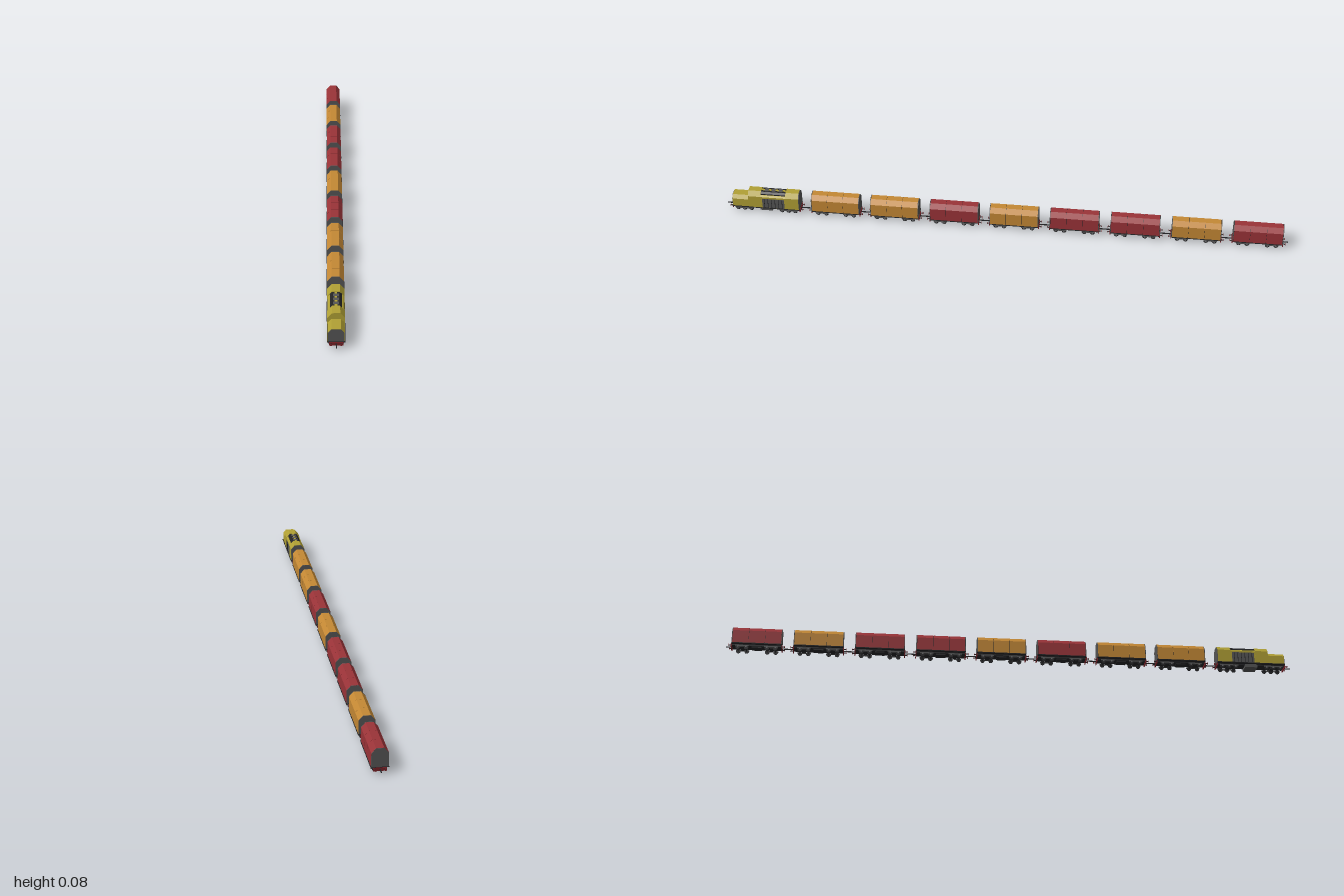
import * as THREE from 'three';

const mat = (name, color, side = THREE.FrontSide) => {
  const m = new THREE.MeshStandardMaterial({ color, side });
  m.name = name;
  return m;
};
const yellow = mat('locomotive yellow', 0xb0a034);
const orange = mat('wagon orange', 0xc48834);
const red = mat('wagon red', 0x9a3338);
const grey = mat('end grey', 0x555555);
const black = mat('chassis black', 0x232325);
const darkRed = mat('buffer beam red', 0x782026);
const steel = mat('wheel steel', 0x6a6a6c);

function add(parent, name, geometry, material, x = 0, y = 0, z = 0) {
  const mesh = new THREE.Mesh(geometry, material);
  mesh.name = name;
  mesh.position.set(x, y, z);
  parent.add(mesh);
  return mesh;
}
const box = (parent, name, material, w, h, d, x, y, z) =>
  add(parent, name, new THREE.BoxGeometry(w, h, d), material, x, y, z);

// Car section with chamfered roof edges, extruded from z0 to z1
function hull(parent, name, material, { w, base, eave, top, flat }, z0, z1) {
  const s = new THREE.Shape([
    [-w, base], [w, base], [w, eave], [flat, top], [-flat, top], [-w, eave],
  ].map(([x, y]) => new THREE.Vector2(x, y)));
  const g = new THREE.ExtrudeGeometry(s, { depth: z1 - z0, bevelEnabled: false });
  return add(parent, name, g, material, 0, 0, z0);
}
const inset = (p, d) => ({ w: p.w - d, base: p.base + d, eave: p.eave - d / 2, top: p.top - d, flat: p.flat - d / 2 });

const FULL = { w: 0.0265, base: 0.021, eave: 0.068, top: 0.084, flat: 0.0125 };
const NOSE = { w: 0.0255, base: 0.021, eave: 0.052, top: 0.064, flat: 0.0145 };

// Bogie with wheelsets, axle boxes and side frames
function bogie(parent, z, axles) {
  const b = new THREE.Group();
  b.name = 'bogie';
  b.position.z = z;
  parent.add(b);
  const half = Math.max(...axles) + 0.009;
  box(b, 'bogieBolster', black, 0.03, 0.007, 0.014, 0, 0.0125, 0);
  for (const s of [-1, 1]) {
    box(b, 'sideFrame', grey, 0.003, 0.004, half * 2, s * 0.0215, 0.012, 0);
    for (const a of axles) {
      const wheel = new THREE.CylinderGeometry(0.0078, 0.0078, 0.003, 14).rotateZ(Math.PI / 2);
      add(b, 'wheel', wheel, black, s * 0.0175, 0.0078, a);
      box(b, 'axleBox', steel, 0.002, 0.005, 0.005, s * 0.0228, 0.0085, a);
    }
  }
  for (const a of axles) {
    const axle = new THREE.CylinderGeometry(0.0016, 0.0016, 0.034, 8).rotateZ(Math.PI / 2);
    add(b, 'axle', axle, black, 0, 0.0078, a);
  }
}

// Underframe with beams, buffers and couplers; reach is the coupler end
function chassis(parent, half, reach) {
  box(parent, 'underframe', black, 0.034, 0.006, half * 2 - 0.004, 0, 0.0175, 0);
  box(parent, 'footplate', black, 0.056, 0.0025, half * 2, 0, 0.0205, 0);
  for (const e of [-1, 1]) {
    box(parent, 'bufferBeam', darkRed, 0.042, 0.011, 0.003, 0, 0.0145, e * (half + 0.0005));
    box(parent, 'coupler', black, 0.003, 0.003, reach - half, 0, 0.0145, e * (reach + half) / 2);
    for (const s of [-1, 1]) {
      const stem = new THREE.CylinderGeometry(0.0018, 0.0018, 0.008, 8).rotateX(Math.PI / 2);
      add(parent, 'bufferStem', stem, black, s * 0.015, 0.016, e * (half + 0.005));
      const head = new THREE.CylinderGeometry(0.0038, 0.0038, 0.0015, 12).rotateX(Math.PI / 2);
      add(parent, 'bufferHead', head, darkRed, s * 0.015, 0.016, e * (half + 0.0095));
    }
  }
}

function wagon(color) {
  const g = new THREE.Group();
  g.name = 'wagon';
  const half = 0.0865;
  chassis(g, half, 0.1067);
  hull(g, 'wagonCore', black, inset(FULL, 0.001), -half + 0.002, half - 0.002);
  // Three covers separated by narrow seams
  const panel = (half * 2 - 0.004) / 3;
  for (let i = 0; i < 3; i++) {
    const z = -half + 0.002 + i * panel;
    hull(g, 'wagonCover', color, FULL, z + 0.0004, z + panel - 0.0004);
  }
  for (const e of [-1, 1]) hull(g, 'wagonEnd', grey, FULL, e * (half - 0.001) - 0.001, e * (half - 0.001) + 0.001);
  for (const e of [-1, 1]) bogie(g, e * 0.05, [-0.0145, 0.0145]);
  // Brake gear between the bogies
  box(g, 'brakeGear', black, 0.026, 0.005, 0.034, 0, 0.0125, 0);
  return g;
}

function locomotive() {
  const g = new THREE.Group();
  g.name = 'locomotive';
  const half = 0.122;
  chassis(g, half, 0.147);
  // Low nose with a grey front panel
  hull(g, 'nose', yellow, NOSE, 0.062, 0.12);
  hull(g, 'nosePanel', grey, inset(NOSE, 0.0015), 0.12, 0.1215);
  // Cab with side windows
  hull(g, 'cab', yellow, FULL, 0.016, 0.062);
  // Engine compartment: body, dark roof and side grilles
  hull(g, 'engineBody', yellow, { w: 0.0258, base: 0.021, eave: 0.067, top: 0.072, flat: 0.02 }, -0.073, 0.016);
  hull(g, 'engineRoof', black, { w: 0.0185, base: 0.071, eave: 0.076, top: 0.082, flat: 0.0125 }, -0.073, 0.016);
  box(g, 'roofWalkway', yellow, 0.008, 0.0012, 0.089, 0, 0.0823, -0.0285);
  for (const z of [-0.053, -0.028, -0.003]) box(g, 'roofVent', grey, 0.018, 0.002, 0.014, 0, 0.0825, z);
  for (const s of [-1, 1]) {
    box(g, 'sideGrille', grey, 0.001, 0.038, 0.08, s * 0.0261, 0.0415, -0.0285);
    for (let i = 0; i < 6; i++) {
      box(g, 'grilleSlat', black, 0.0006, 0.036, 0.002, s * 0.0268, 0.0415, -0.0605 + i * 0.0128);
    }
  }
  // Rear compartment with a grey end
  hull(g, 'rearBody', yellow, FULL, -0.12, -0.073);
  hull(g, 'rearEnd', grey, inset(FULL, 0.0005), -0.122, -0.12);
  for (const e of [-1, 1]) bogie(g, e * 0.08, [-0.024, 0, 0.024]);
  box(g, 'fuelTank', grey, 0.042, 0.012, 0.044, 0, 0.0125, 0);
  return g;
}

export function createModel() {
  const train = new THREE.Group();
  train.name = 'freightTrain';
  const loco = locomotive();
  loco.position.z = 0.853;
  train.add(loco);
  [orange, orange, red, orange, red, red, orange, red].forEach((color, i) => {
    const w = wagon(color);
    w.position.z = 0.6 - i * 0.2133;
    train.add(w);
  });
  return train;
}
